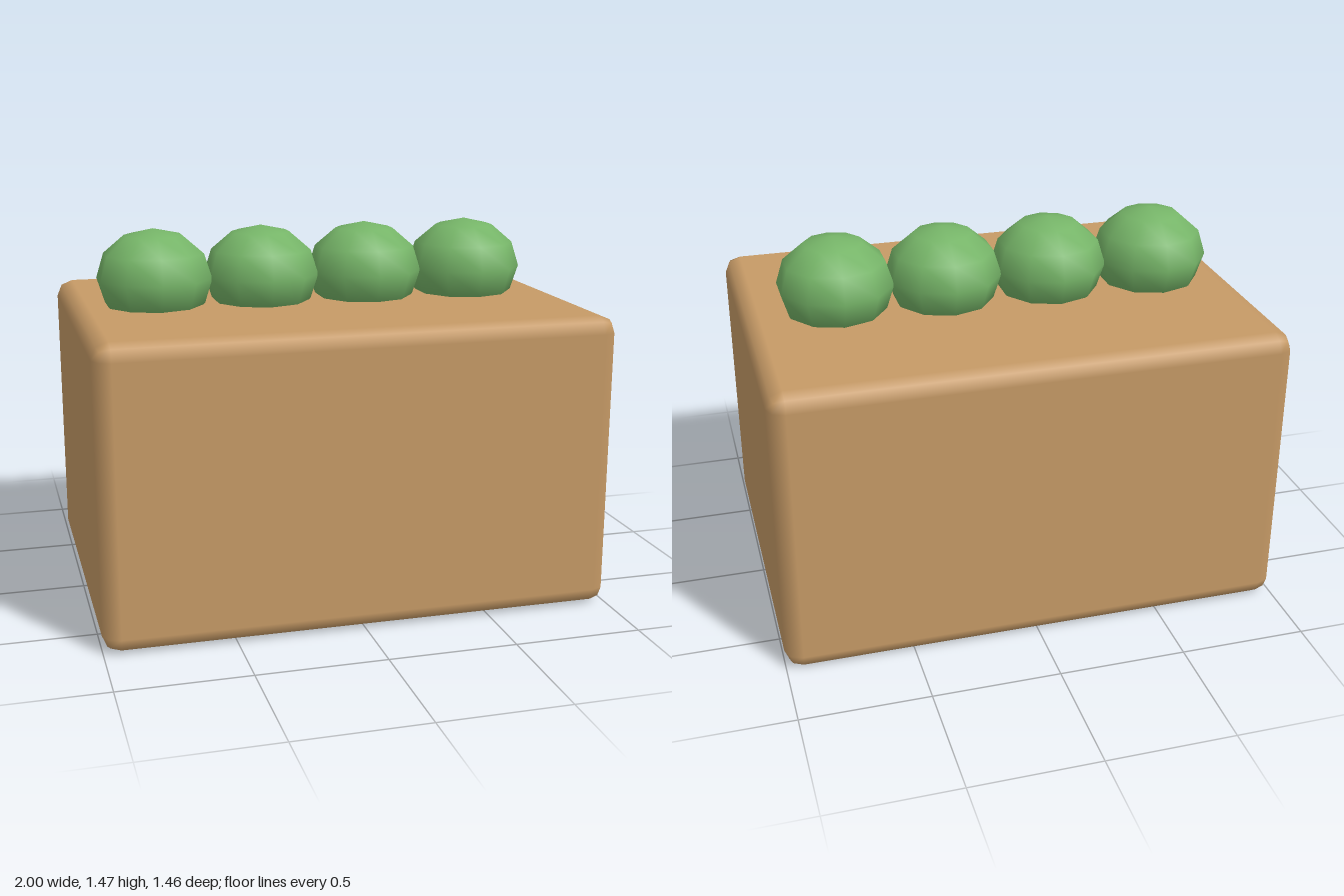
import * as THREE from 'three';
import { RoundedBoxGeometry } from 'three/addons/geometries/RoundedBoxGeometry.js';

export function createModel() {
  const model = new THREE.Group();
  model.name = 'planter';

  const wood = new THREE.MeshStandardMaterial({ color: 0xc69a66 });
  wood.name = 'tan wood';
  const leaf = new THREE.MeshStandardMaterial({ color: 0x76b568 });
  leaf.name = 'leaf green';

  // Box with softly bevelled edges
  const width = 2, height = 1.165, depth = 1.46;
  const box = new THREE.Mesh(new RoundedBoxGeometry(width, height, depth, 1, 0.065), wood);
  box.name = 'box';
  box.position.y = height / 2;
  model.add(box);

  // Row of slightly flattened, ten-sided bushes sunk into the top
  const bushGeometry = new THREE.SphereGeometry(0.232, 10, 6);
  bushGeometry.rotateY(Math.PI / 2);
  bushGeometry.scale(1, 0.85, 1);
  for (let i = 0; i < 4; i++) {
    const bush = new THREE.Mesh(bushGeometry, leaf);
    bush.name = `bush${i + 1}`;
    bush.position.set(-0.67 + i * 0.4335, 1.27, -0.002);
    model.add(bush);
  }

  return model;
}
